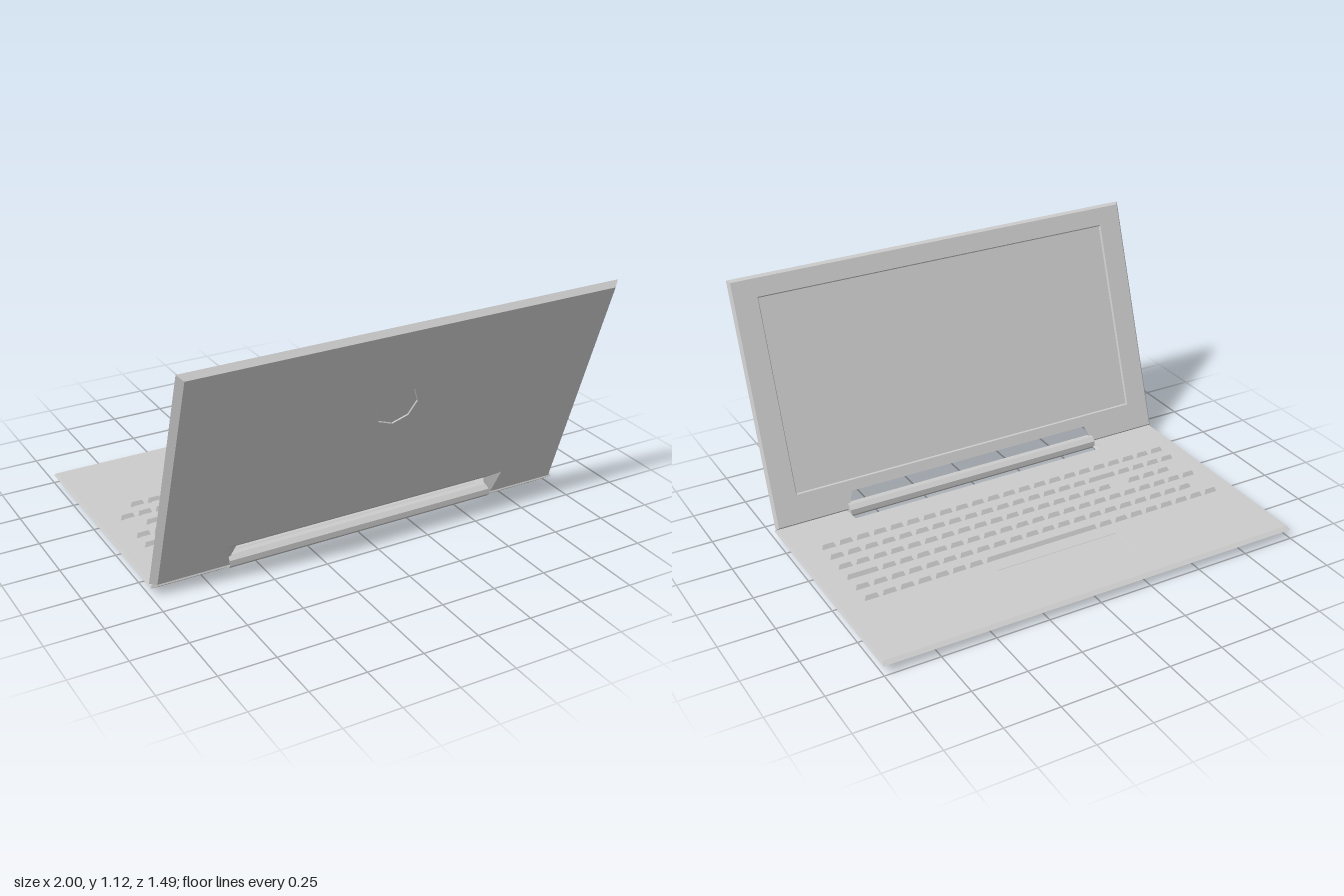
import * as THREE from 'three';

const V = (x, y) => new THREE.Vector2(x, y);
const material = new THREE.MeshStandardMaterial({ color: 0xcccccc, flatShading: true });

// Collects walls and caps between counter-clockwise rings stacked along z.
class Loft {
  constructor() { this.positions = []; }
  tri(...corners) { for (const [p, h] of corners) this.positions.push(p.x, p.y, h); }
  wall(a, ha, b, hb) {
    a.forEach((p, i) => {
      const j = (i + 1) % a.length;
      this.tri([p, ha], [a[j], ha], [b[j], hb]);
      this.tri([p, ha], [b[j], hb], [b[i], hb]);
    });
  }
  cap(ring, h, up, hole) {
    const holes = hole ? [[...hole].reverse()] : [];
    const all = [...ring, ...holes.flat()];
    for (const [a, b, c] of THREE.ShapeUtils.triangulateShape(ring, holes)) {
      const order = up ? [a, b, c] : [a, c, b];
      this.tri(...order.map((k) => [all[k], h]));
    }
  }
  // Sinks a pocket into a cap: its own walls and floor.
  pocket(rim, h, floor, hFloor) {
    const up = hFloor < h;
    if (up) this.wall(rim, h, floor, hFloor);
    else this.wall(floor, hFloor, rim, h);
    this.cap(floor, hFloor, up);
  }
  mesh(name) {
    const geometry = new THREE.BufferGeometry();
    geometry.setAttribute('position', new THREE.Float32BufferAttribute(this.positions, 3));
    geometry.computeVertexNormals();
    const mesh = new THREE.Mesh(geometry, material);
    mesh.name = name;
    return mesh;
  }
}

const rect = (x0, x1, y0, y1) => [V(x0, y0), V(x1, y0), V(x1, y1), V(x0, y1)];

// Rectangle with a wide notch cut from its lower edge.
const notched = (w, bottom, top, n0, n1, depth) => [
  V(-w, bottom), V(-n0, bottom), V(-n1, depth), V(n1, depth),
  V(n0, bottom), V(w, bottom), V(w, top), V(-w, top),
];

const octagon = (y, r) => Array.from({ length: 8 }, (_, i) =>
  V(r * Math.cos(i * Math.PI / 4), y + r * Math.sin(i * Math.PI / 4)));

// Base: wedge underside, thin chamfered rim and shallow touchpad.
function createBase() {
  const loft = new Loft();
  const under = notched(0.94, -0.32, 0.53, 0.67, 0.67, -0.27);
  const rim = notched(1, -0.38, 0.745, 0.65, 0.64, -0.295);
  const deck = notched(0.993, -0.375, 0.728, 0.655, 0.65, -0.28);
  const pad = rect(-0.3, 0.3, 0.4, 0.64);
  loft.cap(under, 0, false);
  loft.wall(under, 0, rim, 0.042);
  loft.wall(rim, 0.042, deck, 0.056);
  loft.cap(deck, 0.056, true, pad);
  loft.pocket(pad, 0.056, rect(-0.299, 0.299, 0.401, 0.639), 0.054);
  return loft.mesh('base');
}

// Keyboard: six rows of tapered keys with a few merged ones.
function createKeyboard() {
  const loft = new Loft();
  const columns = 22, rows = 6, stepX = 0.0819, stepY = 0.0879;
  const wide = { '0,0': [1, 2], '0,2': [1, 2], '4,2': [1, 2], '4,4': [2, 1], '8,0': [7, 1], '20,2': [2, 1] };
  const taken = new Set();
  for (let r = 0; r < rows; r++) {
    for (let c = 0; c < columns; c++) {
      if (taken.has(`${c},${r}`)) continue;
      const [nc, nr] = wide[`${c},${r}`] || [1, 1];
      for (let i = 0; i < nc; i++) for (let j = 0; j < nr; j++) taken.add(`${c + i},${r + j}`);
      const x = -0.868 + c * stepX, y = 0.294 - r * stepY;
      const ring = (s) => rect(x - s, x + (nc - 1) * stepX + s, y - (nr - 1) * stepY - s, y + s);
      loft.wall(ring(0.034), 0.054, ring(0.025), 0.076);
      loft.cap(ring(0.025), 0.076, true);
    }
  }
  return loft.mesh('keyboard');
}

// Lid: bevelled slab with a recessed display inside and an octagonal dimple outside.
function createLid() {
  const loft = new Loft();
  const inner = notched(0.988, 0.008, 1.112, 0.645, 0.62, 0.085);
  const rim = notched(1, 0, 1.125, 0.65, 0.62, 0.088);
  const outer = notched(0.975, 0.012, 1.108, 0.65, 0.68, 0.128);
  const display = rect(-0.88, 0.88, 0.135, 1.03);
  const dimple = octagon(0.719, 0.1);
  loft.cap(inner, 0, false, display);
  loft.pocket(display, 0, rect(-0.875, 0.875, 0.14, 1.025), 0.008);
  loft.wall(inner, 0, rim, 0.014);
  loft.wall(rim, 0.014, outer, 0.04);
  loft.cap(outer, 0.04, true, dimple);
  loft.pocket(dimple, 0.04, octagon(0.719, 0.097), 0.035);
  const lid = loft.mesh('lid');
  lid.position.set(0, 0.06, 0.35);
  lid.rotation.x = 0.33;
  return lid;
}

// Hinge: eight-sided bar lying in the notch.
function createHinge() {
  const geometry = new THREE.CylinderGeometry(0.034, 0.034, 1.3, 8);
  geometry.rotateY(Math.PI / 8).rotateZ(Math.PI / 2);
  const hinge = new THREE.Mesh(geometry, material);
  hinge.name = 'hingeBar';
  hinge.position.set(0, 0.06, 0.359);
  return hinge;
}

export function createModel() {
  const group = new THREE.Group();
  group.name = 'laptop';
  const lower = new THREE.Group();
  lower.name = 'lowerHalf';
  lower.rotation.x = -Math.PI / 2;
  lower.add(createBase(), createKeyboard());
  group.add(lower, createLid(), createHinge());
  return group;
}
